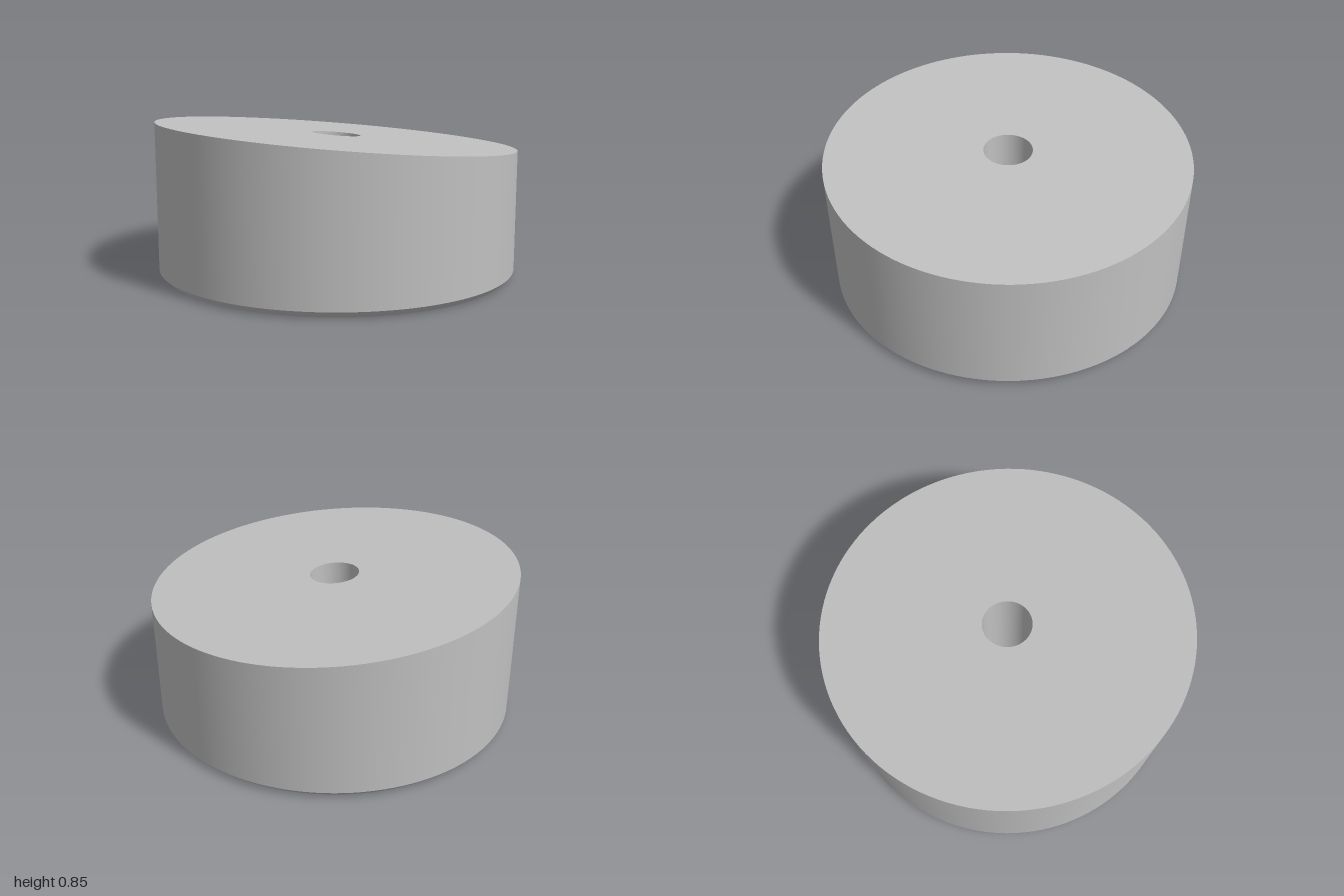
import * as THREE from 'three';

const SEGMENTS = 128;
const HEIGHT = 0.765; // height of the sloping top at the axis
const SLOPE_X = -0.06;
const SLOPE_Z = -0.055;
const CHAMFER = 0.035;
const RADIUS = 1;
const BORE = 0.135;

export function createModel() {
  const group = new THREE.Group();
  group.name = 'slopedSpacer';
  const metal = new THREE.MeshStandardMaterial({ color: 0xc0c0c0 });
  metal.name = 'light grey';

  // Turns one straight profile segment; upper points follow the sloping plane
  function turned(name, from, to) {
    const points = [from, to].map(([r, y]) => new THREE.Vector2(r, y));
    const geometry = new THREE.LatheGeometry(points, SEGMENTS);
    const p = geometry.attributes.position;
    for (let i = 0; i < p.count; i++) {
      if (p.getY(i) > HEIGHT / 2) {
        p.setY(i, HEIGHT + SLOPE_X * p.getX(i) + SLOPE_Z * p.getZ(i));
      }
    }
    const mesh = new THREE.Mesh(geometry, metal);
    mesh.name = name;
    group.add(mesh);
    return mesh;
  }

  // Outside, from the base upwards
  turned('outerChamfer', [RADIUS - CHAMFER, 0], [RADIUS, CHAMFER]);
  turned('outerWall', [RADIUS, CHAMFER], [RADIUS, HEIGHT]);

  // Flat sloping top with one shared normal
  const top = turned('slopedTop', [RADIUS, HEIGHT], [BORE, HEIGHT]);
  const n = new THREE.Vector3(-SLOPE_X, 1, -SLOPE_Z).normalize();
  const normals = top.geometry.attributes.normal;
  for (let i = 0; i < normals.count; i++) normals.setXYZ(i, n.x, n.y, n.z);

  // Through hole, downwards, and the flat base
  turned('boreWall', [BORE, HEIGHT], [BORE, CHAMFER]);
  turned('boreChamfer', [BORE, CHAMFER], [BORE + CHAMFER, 0]);
  turned('base', [BORE + CHAMFER, 0], [RADIUS - CHAMFER, 0]);

  return group;
}
